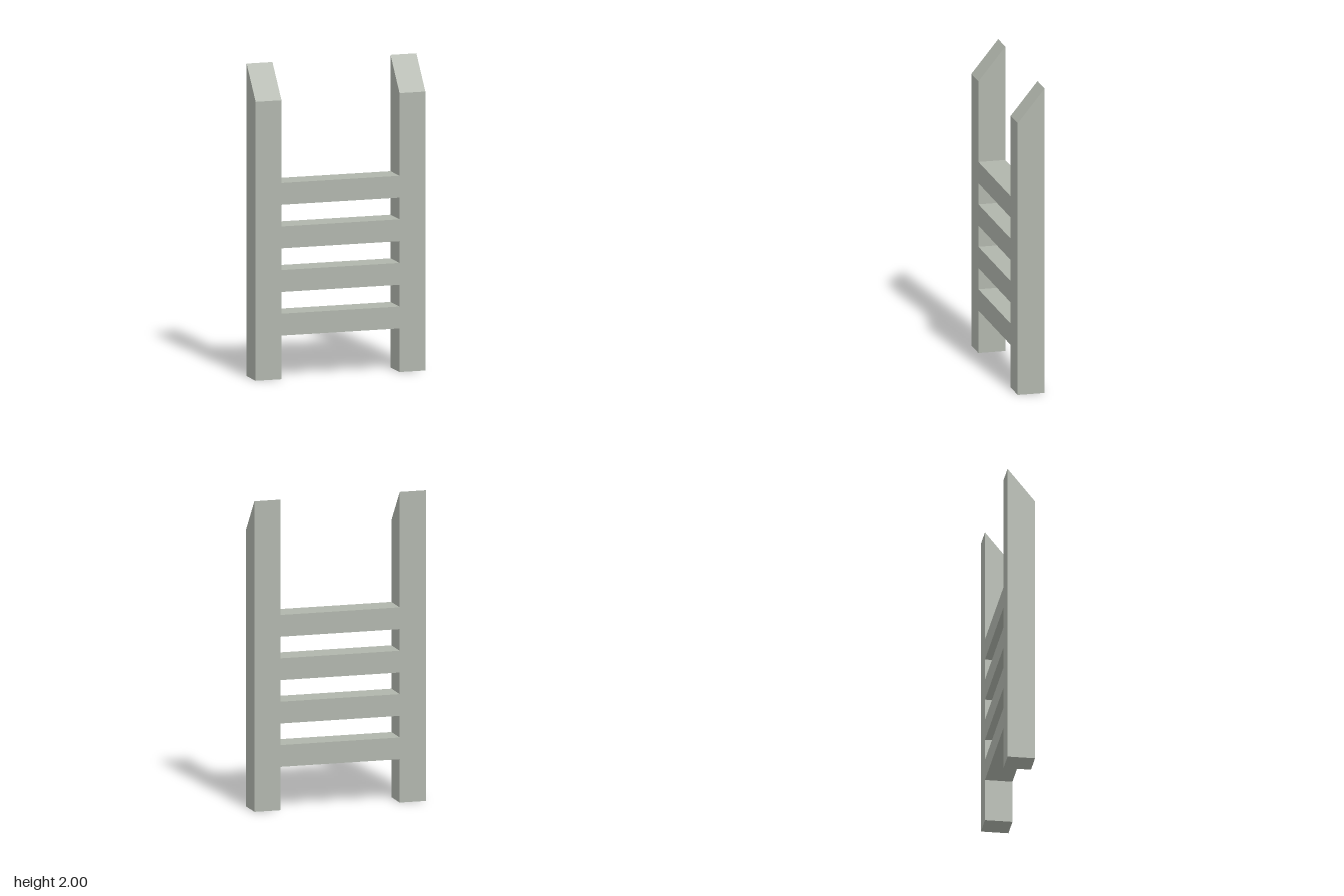
import * as THREE from 'three';

export function createModel() {
  const group = new THREE.Group();
  const wood = new THREE.MeshStandardMaterial({ color: 0xb0b5ac });
  wood.name = 'paleGrey';

  const outer = 0.565, inner = 0.393, half = 0.0875;

  // Post side profile with a slanted top, low edge at the front (shape x = -z)
  const profile = new THREE.Shape([
    new THREE.Vector2(-half, 0),
    new THREE.Vector2(half, 0),
    new THREE.Vector2(half, 2),
    new THREE.Vector2(-half, 1.785),
  ]);
  const postGeometry = new THREE.ExtrudeGeometry(profile, { depth: outer - inner, bevelEnabled: false });
  postGeometry.rotateY(Math.PI / 2);

  for (const [name, x] of [['leftPost', inner], ['rightPost', -outer]]) {
    const post = new THREE.Mesh(postGeometry, wood);
    post.name = name;
    post.position.x = x;
    group.add(post);
  }

  // Four evenly spaced rungs, flush with the posts
  const rungGeometry = new THREE.BoxGeometry(inner * 2, 0.14, half * 2);
  for (let i = 0; i < 4; i++) {
    const rung = new THREE.Mesh(rungGeometry, wood);
    rung.name = `rung${i + 1}`;
    rung.position.y = 0.349 + i * 0.279;
    group.add(rung);
  }
  return group;
}
